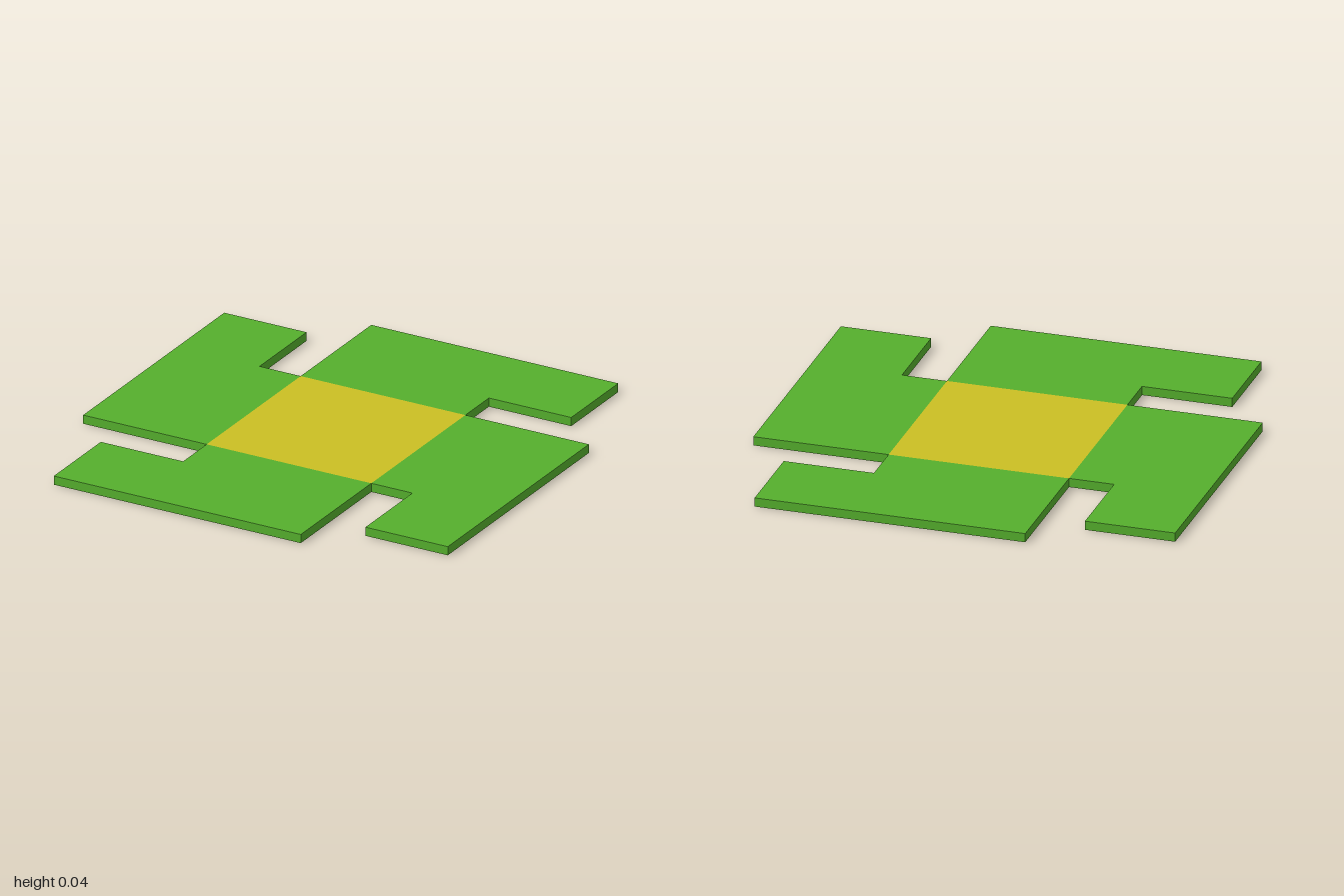
import * as THREE from 'three';

const THICKNESS = 0.04;

export function createModel() {
  const green = new THREE.MeshStandardMaterial({ name: 'green', color: 0x55af2d });
  const yellow = new THREE.MeshStandardMaterial({ name: 'yellow', color: 0xcbbf23 });
  const model = new THREE.Group();
  model.name = 'pinwheelTile';

  // Square centre
  const centre = new THREE.Mesh(new THREE.BoxGeometry(0.8, THICKNESS, 0.8), yellow);
  centre.name = 'centrePanel';
  centre.position.y = THICKNESS / 2;
  model.add(centre);

  // Hooked arm outline, drawn flat as (x, -z)
  const outline = [[-0.4, -0.4], [-0.4, -0.6], [-0.8, -0.6], [-0.8, -1], [0.4, -1], [0.4, -0.4]];
  const shape = new THREE.Shape(outline.map(([x, y]) => new THREE.Vector2(x, y)));
  const armGeometry = new THREE.ExtrudeGeometry(shape, { depth: THICKNESS, bevelEnabled: false });
  armGeometry.rotateX(-Math.PI / 2);

  // Four arms, each a quarter turn on from the last
  ['frontArm', 'leftArm', 'backArm', 'rightArm'].forEach((name, i) => {
    const arm = new THREE.Mesh(armGeometry, green);
    arm.name = name;
    arm.rotation.y = i * Math.PI / 2;
    model.add(arm);
  });

  return model;
}
